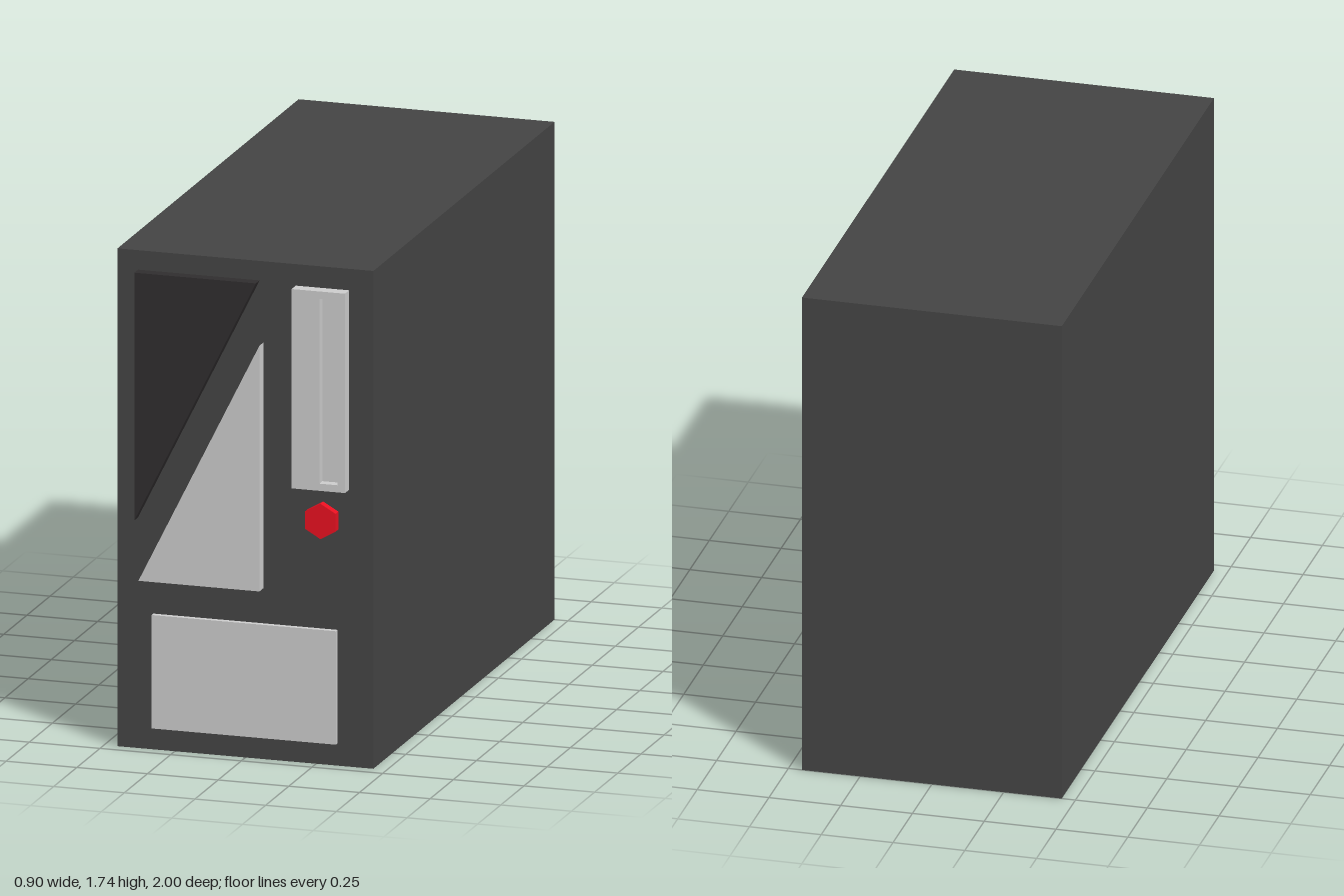
import * as THREE from 'three';

const FACE = 0.955; // z of the cabinet's front face

function material(color) {
  return new THREE.MeshStandardMaterial({ color, flatShading: true });
}

function polygon(points) {
  return new THREE.Shape(points.map(([x, y]) => new THREE.Vector2(x, y)));
}

function rectangle(x0, x1, y0, y1) {
  return polygon([[x0, y0], [x1, y0], [x1, y1], [x0, y1]]);
}

export function createModel() {
  const model = new THREE.Group();
  model.name = 'towerCabinet';

  const dark = material(0x444444);
  const black = material(0x302d2e);
  const grey = material(0xcccccc);
  const red = material(0xe81020);

  // Raised panel: a flat outline pushed out of the front face up to zFront
  function addPanel(name, shape, zFront, mat) {
    const geometry = new THREE.ExtrudeGeometry(shape, { depth: zFront - FACE, bevelEnabled: false });
    const mesh = new THREE.Mesh(geometry, mat);
    mesh.name = name;
    mesh.position.z = FACE;
    model.add(mesh);
  }

  // Main cabinet
  const cabinet = new THREE.Mesh(new THREE.BoxGeometry(0.905, 1.738, 1 + FACE), dark);
  cabinet.name = 'cabinet';
  cabinet.position.set(0, 0.869, (FACE - 1) / 2);
  model.add(cabinet);

  // Two opposing triangular panels
  addPanel('upperTriangle', polygon([[-0.38, 0.805], [0.05, 1.67], [-0.38, 1.67]]), 0.995, black);
  addPanel('lowerTriangle', polygon([[-0.364, 0.597], [0.064, 0.597], [0.064, 1.455]]), 1, grey);

  // Slotted plate with a recessed floor
  const plate = rectangle(0.178, 0.367, 0.967, 1.663);
  plate.holes.push(rectangle(0.276, 0.341, 0.992, 1.637));
  addPanel('slotPlate', plate, 1, grey);
  addPanel('slotFloor', rectangle(0.276, 0.341, 0.992, 1.637), 0.967, grey);

  // Lower rectangular panel
  addPanel('lowerPanel', rectangle(-0.326, 0.326, 0.078, 0.474), 0.974, grey);

  // Hexagonal button, a corner pointing up
  const button = new THREE.Mesh(new THREE.CylinderGeometry(0.062, 0.062, 0.985 - FACE, 6), red);
  button.name = 'button';
  button.rotation.x = Math.PI / 2;
  button.position.set(0.275, 0.856, (0.985 + FACE) / 2);
  model.add(button);

  return model;
}
